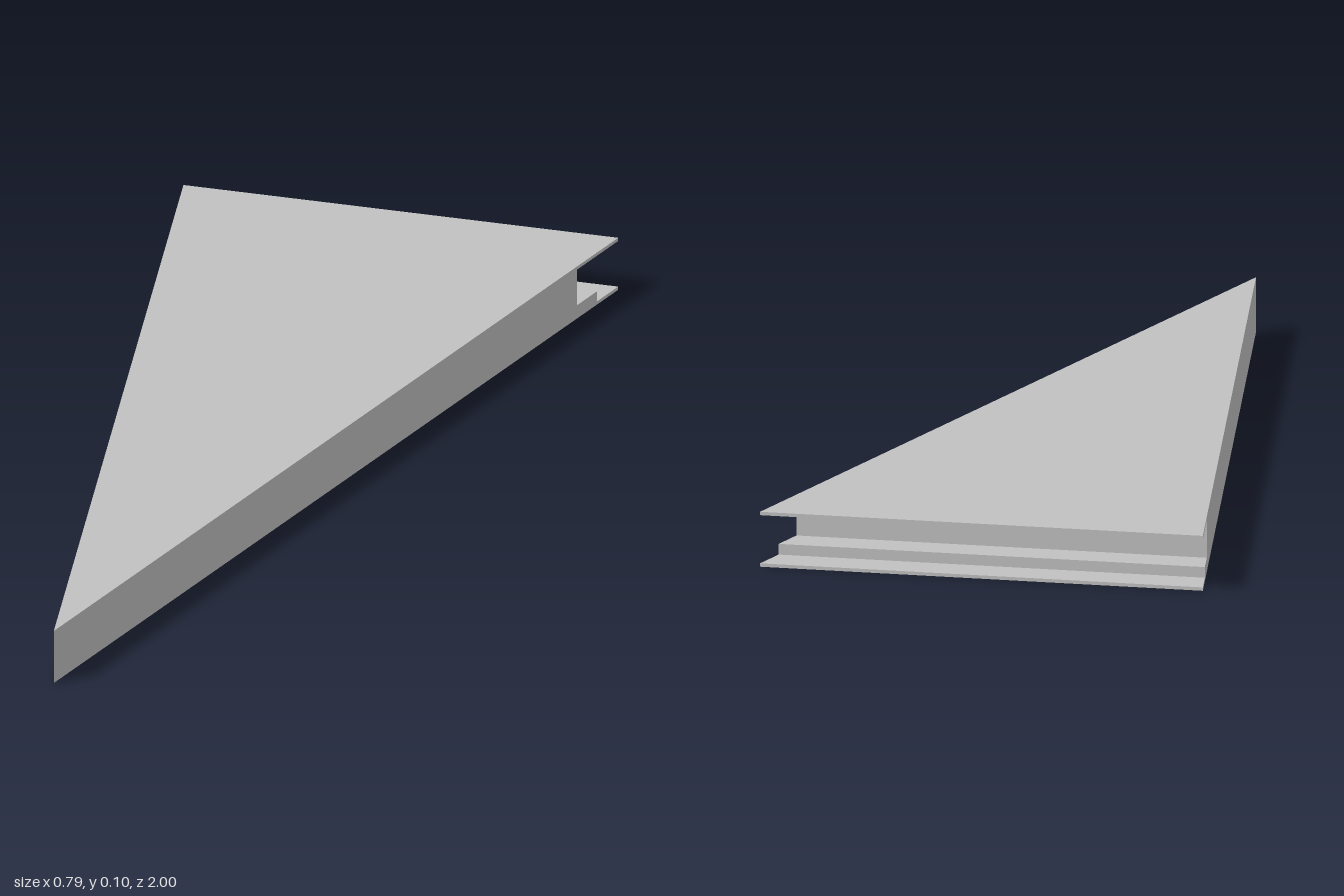
import * as THREE from 'three';

const TIP_Z = 1, SLOPE = 0.397 / 2; // half width gained per unit behind the tip

export function createModel() {
  const group = new THREE.Group();
  const grey = new THREE.MeshStandardMaterial({ color: 0xc0c0c0 });
  grey.name = 'light grey';

  // Triangular slab from the front tip back to backZ, between two heights
  function wedge(name, backZ, y0, y1) {
    const half = (TIP_Z - backZ) * SLOPE;
    const shape = new THREE.Shape([
      new THREE.Vector2(0, -TIP_Z),
      new THREE.Vector2(half, -backZ),
      new THREE.Vector2(-half, -backZ),
    ]);
    const geometry = new THREE.ExtrudeGeometry(shape, { depth: y1 - y0, bevelEnabled: false });
    geometry.rotateX(-Math.PI / 2).translate(0, y0, 0);
    const mesh = new THREE.Mesh(geometry, grey);
    mesh.name = name;
    group.add(mesh);
  }

  // Thin skins overhang the stepped core at the back
  wedge('bottomPlate', -1, 0, 0.006);
  wedge('lowerLedge', -0.925, 0.006, 0.025);
  wedge('core', -0.853, 0.025, 0.092);
  wedge('topPlate', -1, 0.092, 0.098);

  return group;
}
